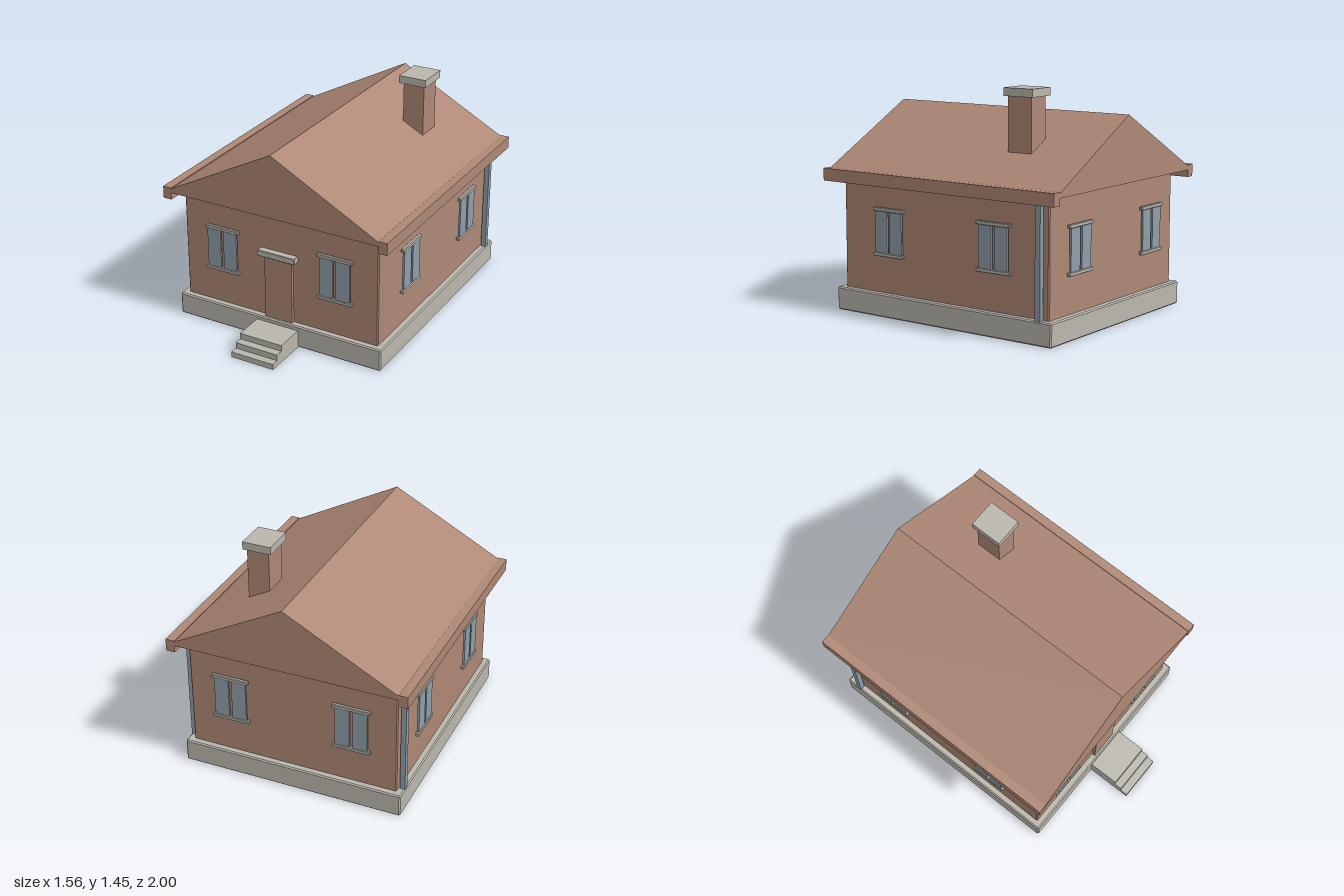
import * as THREE from 'three';
import { ConvexGeometry } from 'three/addons/geometries/ConvexGeometry.js';

export function createModel() {
  const house = new THREE.Group();
  house.name = 'house';
  const makeMaterial = (name, color) => {
    const m = new THREE.MeshStandardMaterial({ color });
    m.name = name;
    return m;
  };
  const brick = makeMaterial('brick brown', 0xae8875);
  const stone = makeMaterial('pale stone', 0xbab7ad);
  const glass = makeMaterial('blue grey', 0x8f9fa9);

  const add = (name, geometry, material, parent = house) => {
    const mesh = new THREE.Mesh(geometry, material);
    mesh.name = name;
    parent.add(mesh);
    return mesh;
  };

  // Box given by its limits, with optional chamfered edges
  const block = (name, material, [x0, x1], [y0, y1], [z0, z1], chamfer = 0, parent = house) => {
    const w = x1 - x0, h = y1 - y0, d = z1 - z0;
    let geometry;
    if (chamfer > 0) {
      const points = [];
      for (const sx of [-1, 1]) for (const sy of [-1, 1]) for (const sz of [-1, 1]) {
        for (let axis = 0; axis < 3; axis++) {
          const c = [0, 1, 2].map((i) => (i === axis ? 0 : chamfer));
          points.push(new THREE.Vector3(sx * (w / 2 - c[0]), sy * (h / 2 - c[1]), sz * (d / 2 - c[2])));
        }
      }
      geometry = new ConvexGeometry(points);
    } else {
      geometry = new THREE.BoxGeometry(w, h, d);
    }
    const mesh = add(name, geometry, material, parent);
    mesh.position.set((x0 + x1) / 2, (y0 + y1) / 2, (z0 + z1) / 2);
    return mesh;
  };

  // Flat profile extruded along z
  const prism = (points, depth) => new THREE.ExtrudeGeometry(
    new THREE.Shape(points.map(([x, y]) => new THREE.Vector2(x, y))),
    { depth, bevelEnabled: false });

  // Base and walls
  block('foundation', stone, [-0.722, 0.722], [0, 0.147], [-0.944, 0.703], 0.008);
  block('walls', brick, [-0.682, 0.682], [0.14, 0.875], [-0.902, 0.662], 0.007);

  // Solid gable roof
  const roof = add('roof', prism(
    [[-0.722, 0.875], [0.722, 0.875], [0.722, 0.903], [0, 1.287], [-0.722, 0.903]], 1.752), brick);
  roof.position.z = -1;

  // Gutters along both eaves, with downpipes near the back corners
  for (const side of [-1, 1]) {
    const span = (a, b) => (side > 0 ? [a, b] : [-b, -a]);
    block('gutter', brick, span(0.722, 0.78), [0.83, 0.909], [-1, 0.752]);
    block('downpipe', glass, span(0.689, 0.722), [0.145, 0.877], [-0.866, -0.829]);
  }

  // Chimney
  block('chimney', brick, [0.28, 0.423], [0.95, 1.4], [-0.59, -0.42]);
  block('chimneyCap', stone, [0.257, 0.443], [1.398, 1.448], [-0.61, -0.399]);

  // Door and lintel
  block('door', brick, [-0.096, 0.096], [0.145, 0.57], [0.655, 0.684]);
  block('doorLintel', stone, [-0.131, 0.131], [0.573, 0.613], [0.662, 0.709], 0.003);

  // Front steps: one stepped profile, turned to run across x
  const steps = add('steps', prism(
    [[0.69, 0], [1, 0], [1, 0.037], [0.95, 0.037], [0.95, 0.077],
      [0.9, 0.077], [0.9, 0.117], [0.69, 0.117]], 0.296), stone);
  steps.rotation.y = -Math.PI / 2;
  steps.position.x = 0.148;

  // Windows: two panes between a sill and a lintel, facing local +z
  const addWindow = (x, z, turn) => {
    const win = new THREE.Group();
    win.name = 'window';
    for (const side of [-1, 1]) {
      block('pane', glass, side > 0 ? [0.01, 0.105] : [-0.105, -0.01],
        [0.4, 0.67], [0.017, 0.03], 0, win);
    }
    block('windowSill', stone, [-0.123, 0.123], [0.382, 0.406], [0.012, 0.035], 0.004, win);
    block('windowLintel', stone, [-0.123, 0.123], [0.665, 0.689], [0.012, 0.035], 0.004, win);
    win.position.set(x, 0, z);
    win.rotation.y = turn;
    house.add(win);
  };
  for (const x of [-0.398, 0.398]) {
    addWindow(x, 0.662, 0);
    addWindow(x, -0.902, Math.PI);
  }
  for (const z of [0.281, -0.521]) {
    addWindow(0.682, z, Math.PI / 2);
    addWindow(-0.682, z, -Math.PI / 2);
  }
  return house;
}
